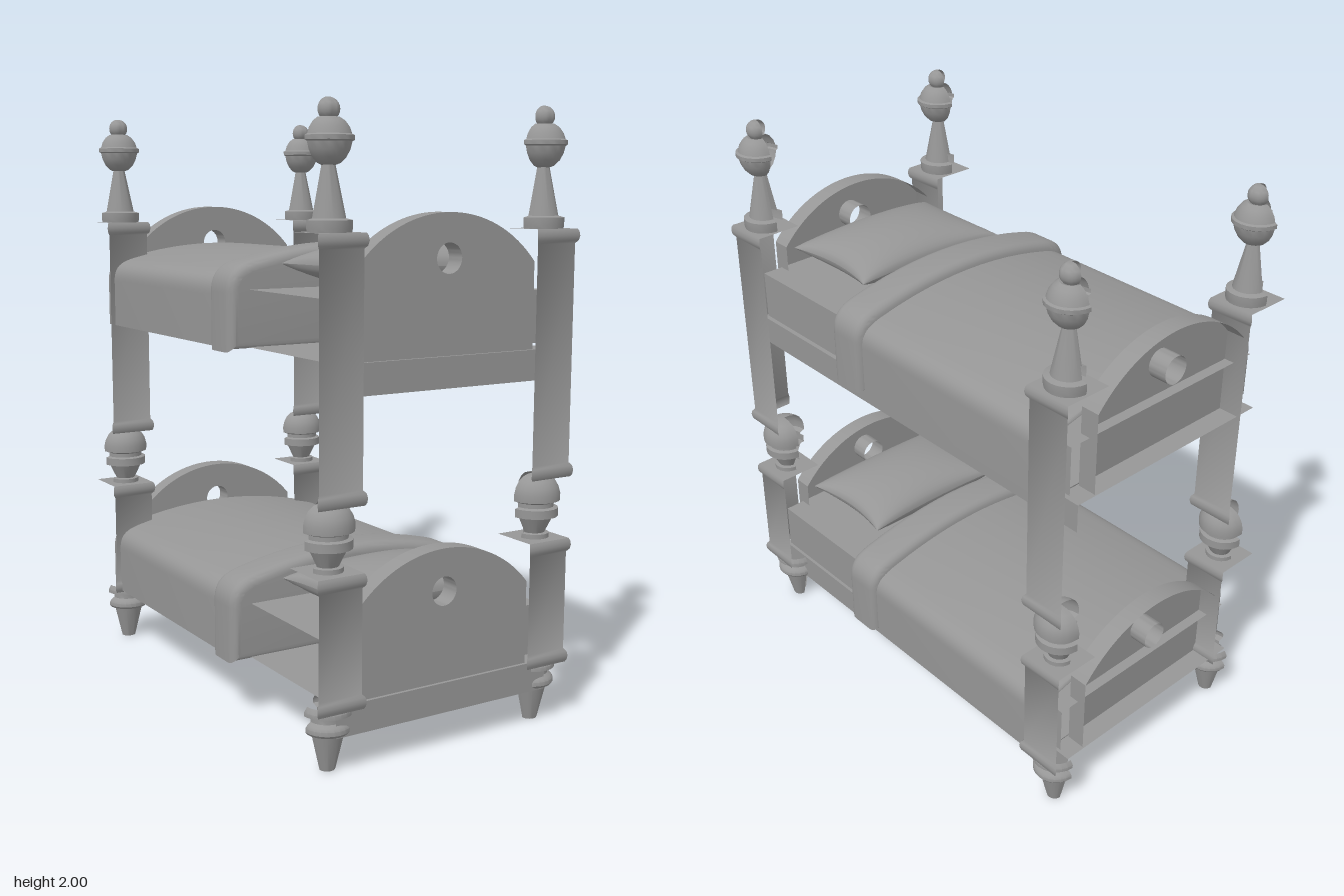
import * as THREE from 'three';
import { toCreasedNormals } from 'three/addons/utils/BufferGeometryUtils.js';

const mat = new THREE.MeshStandardMaterial({ color: 0x969696, side: THREE.DoubleSide });
const LEVEL = 1.03; // height from lower to upper bunk

function add(parent, name, geo, x = 0, y = 0, z = 0) {
  const m = new THREE.Mesh(geo, mat);
  m.name = name;
  m.position.set(x, y, z);
  parent.add(m);
  return m;
}

// Keeps only the triangles whose face normal passes the test (open shells)
function keepFaces(geo, test) {
  const g = geo.index ? geo.toNonIndexed() : geo;
  const p = g.attributes.position, out = [], n = new THREE.Vector3();
  const t = new THREE.Triangle();
  for (let i = 0; i < p.count; i += 3) {
    t.setFromAttributeAndIndices(p, i, i + 1, i + 2);
    t.getNormal(n);
    if (test(n)) for (const v of [t.a, t.b, t.c]) out.push(v.x, v.y, v.z);
  }
  const r = new THREE.BufferGeometry();
  r.setAttribute('position', new THREE.Float32BufferAttribute(out, 3));
  return toCreasedNormals(r, 0.6);
}

// Two walls of a square post, from [half width, y] rows; the back corner is open
function squarePost(rows) {
  const ring = [[1, -1], [1, 1], [-1, 1]];
  const pos = [], idx = [];
  rows.forEach(([r, y], i) => ring.forEach(([x, z], j) => {
    pos.push(x * r, y, z * r);
    if (i && j) {
      const c = i * 3 + j - 1, d = c + 1, a = c - 3, b = d - 3;
      idx.push(a, c, b, b, c, d);
    }
  }));
  const g = new THREE.BufferGeometry();
  g.setAttribute('position', new THREE.Float32BufferAttribute(pos, 3));
  g.setIndex(idx);
  return toCreasedNormals(g, 0.7);
}

// Post with a rounded collar at both ends
const collaredPost = (y0, y1) => {
  const c = 0.076, e = 0.081, w = 0.087;
  return squarePost([[e, y0], [w - 0.002, y0 + 0.008], [w, y0 + 0.022], [w - 0.003, y0 + 0.036], [c, y0 + 0.046],
    [c, y1 - 0.046], [w - 0.003, y1 - 0.036], [w, y1 - 0.022], [w - 0.002, y1 - 0.008], [e, y1]]);
};

// Turned part, open over the back quarter
const turned = rows => toCreasedNormals(
  new THREE.LatheGeometry(rows.map(([r, y]) => new THREE.Vector2(r, y)), 18, -Math.PI / 2, Math.PI * 1.5), 0.6);

function makePosts(root) {
  const foot = turned([[0.001, 0], [0.026, 0], [0.055, 0.12], [0.07, 0.122], [0.076, 0.13], [0.076, 0.143],
    [0.07, 0.152], [0.058, 0.16], [0.058, 0.175], [0.08, 0.182], [0.08, 0.195], [0.07, 0.21]]);
  const joint = turned([[0.05, 0.62], [0.05, 0.635], [0.036, 0.637], [0.062, 0.69], [0.078, 0.692], [0.078, 0.72],
    [0.064, 0.724], [0.064, 0.738], [0.083, 0.745], [0.084, 0.768], [0.078, 0.79], [0.066, 0.81], [0.048, 0.824],
    [0.025, 0.831], [0.001, 0.833]]);
  const ball = Array.from({ length: 10 }, (_, i) => {
    const a = -0.8 + i * (Math.PI / 2 + 0.8) / 9;
    return [0.001 + 0.034 * Math.cos(a), 1.966 + 0.034 * Math.sin(a)];
  });
  const finial = turned([[0.07, 1.62], [0.072, 1.63], [0.072, 1.655], [0.053, 1.66], [0.022, 1.81], [0.036, 1.815],
    [0.053, 1.832], [0.064, 1.853], [0.07, 1.876], [0.077, 1.88], [0.077, 1.893], [0.069, 1.897], [0.063, 1.915],
    [0.05, 1.933], [0.034, 1.944], ...ball]);
  const lower = collaredPost(0.2, 0.62), upper = collaredPost(0.825, 1.62);
  const plate = new THREE.PlaneGeometry(0.162, 0.162).rotateX(-Math.PI / 2);
  for (const sx of [-1, 1]) for (const sz of [-1, 1]) {
    const g = new THREE.Group();
    g.name = 'cornerPost';
    g.position.set(sx * 0.398, 0, sz * 0.742);
    root.add(g);
    add(g, 'foot', foot);
    add(g, 'lowerPost', lower);
    add(g, 'lowerPostCap', plate, 0, 0.62);
    add(g, 'turnedJoint', joint);
    add(g, 'upperPost', upper);
    add(g, 'upperPostCap', plate, 0, 1.62);
    add(g, 'finial', finial);
  }
}

// Arched end board with a round hole, open at the back
function boardGeometry() {
  const s = new THREE.Shape();
  s.moveTo(-0.33, 0.21);
  s.lineTo(0.33, 0.21);
  s.lineTo(0.33, 0.49);
  const r = (0.33 ** 2 + 0.155 ** 2) / (2 * 0.155), a = Math.asin(0.33 / r);
  s.absarc(0, 0.645 - r, r, Math.PI / 2 - a, Math.PI / 2 + a, false);
  s.closePath();
  const hole = new THREE.Path();
  hole.absarc(0, 0.508, 0.047, 0, Math.PI * 2, true);
  s.holes.push(hole);
  const g = new THREE.ExtrudeGeometry(s, { depth: 0.066, bevelEnabled: false, curveSegments: 20 });
  return keepFaces(g, n => n.z > -0.9);
}

// Soft cover: crowned section with drooping edges run along z, open underneath and at the foot
function coverGeometry(w, y0, y1, z0, z1, bevel) {
  const hw = w - bevel, b = y0 + bevel, t = y1 - bevel;
  const s = new THREE.Shape();
  s.moveTo(-hw, b);
  s.lineTo(hw, b);
  s.lineTo(hw, t - 0.12);
  s.bezierCurveTo(hw, t - 0.075, hw - 0.02, t - 0.06, hw - 0.08, t - 0.046);
  s.quadraticCurveTo(0, t + 0.046, -hw + 0.08, t - 0.046);
  s.bezierCurveTo(-hw + 0.02, t - 0.06, -hw, t - 0.075, -hw, t - 0.12);
  s.closePath();
  const g = new THREE.ExtrudeGeometry(s, {
    depth: z1 - z0 - 2 * bevel, bevelEnabled: true, bevelSize: bevel, bevelThickness: bevel, bevelSegments: 5, curveSegments: 12,
  });
  g.translate(0, 0, z0 + bevel);
  return keepFaces(g, n => n.y > -0.5 && n.z > -0.99);
}

// Upper half of a pillow with pinched corners
function pillowHalf() {
  const g = new THREE.PlaneGeometry(2, 2, 24, 20).rotateX(-Math.PI / 2);
  const p = g.attributes.position;
  for (let i = 0; i < p.count; i++) {
    const u = Math.sin(p.getX(i) * Math.PI / 2), v = Math.sin(p.getZ(i) * Math.PI / 2);
    const h = 0.08 * Math.pow(Math.max(0, (1 - u * u) * (1 - v * v)), 0.45);
    p.setXYZ(i, 0.305 * u * (1 - 0.1 * (1 - v * v)), h, 0.2 * v * (1 - 0.08 * (1 - u * u)));
  }
  g.computeVertexNormals();
  return g;
}

function makeBunk(root, y, name) {
  const g = new THREE.Group();
  g.name = name;
  g.position.y = y;
  root.add(g);
  // Bed frame and mattress are shells open at the back, right and underside
  const shell = n => n.x + n.y + n.z > 0;
  add(g, 'bedFrame', keepFaces(new THREE.BoxGeometry(0.81, 0.098, 1.61), shell), 0, 0.165, 0);
  add(g, 'mattress', keepFaces(new THREE.BoxGeometry(0.81, 0.168, 1.54), shell), 0, 0.314, 0);
  const board = boardGeometry();
  add(g, 'headboard', board, 0, 0, 0.728);
  add(g, 'footboard', board, 0, 0, -0.8);
  add(g, 'blanket', coverGeometry(0.457, 0.208, 0.506, -0.73, 0.16, 0.012));
  add(g, 'blanketFold', coverGeometry(0.475, 0.198, 0.54, 0.133, 0.285, 0.032));
  // Pillow from two mirrored halves
  const half = pillowHalf();
  add(g, 'pillowTop', half, -0.005, 0.48, 0.525);
  add(g, 'pillowBottom', half, -0.005, 0.48, 0.525).scale.y = -1;
}

export function createModel() {
  const root = new THREE.Group();
  root.name = 'bunkBed';
  makePosts(root);
  makeBunk(root, 0, 'lowerBunk');
  makeBunk(root, LEVEL, 'upperBunk');
  return root;
}
